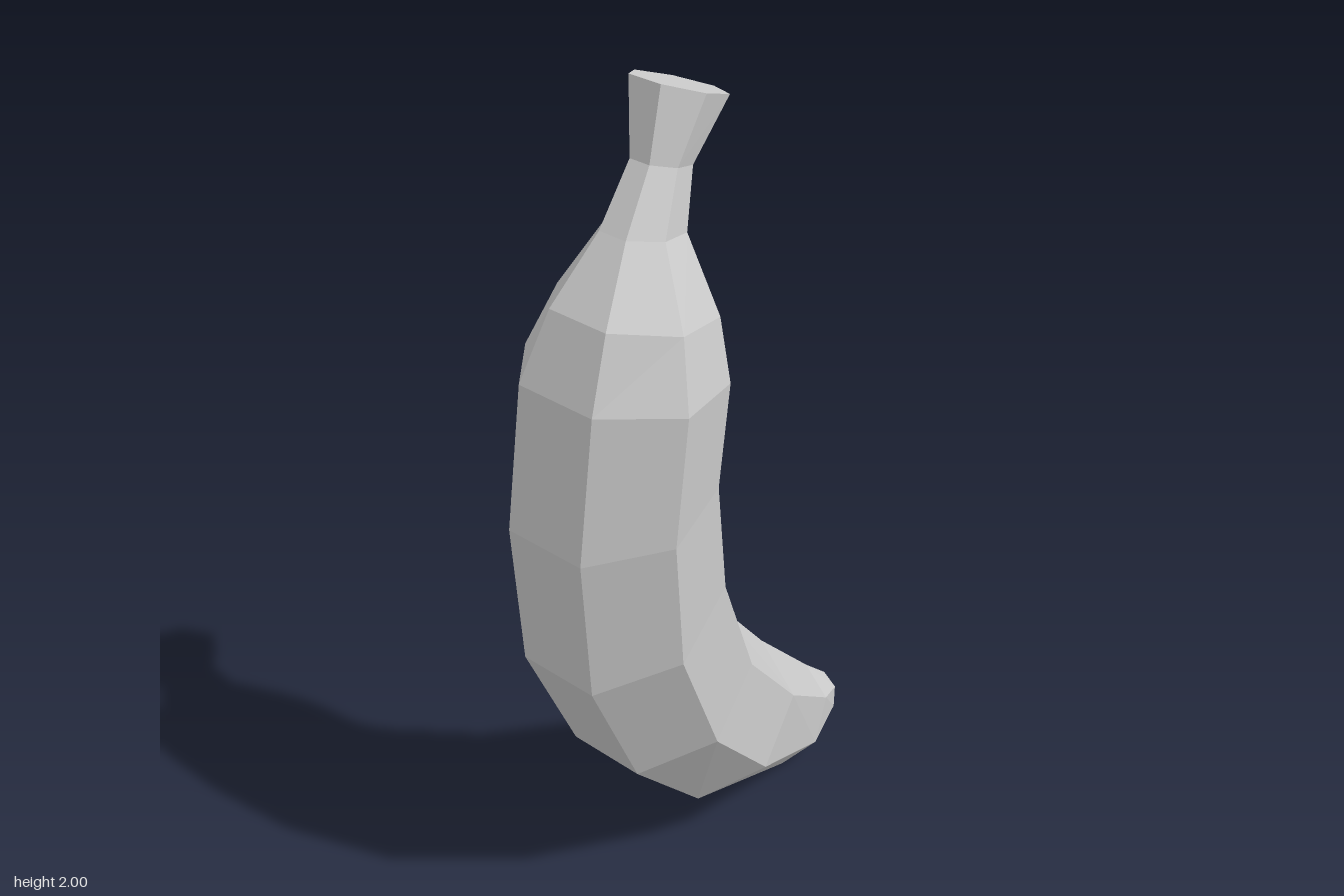
import * as THREE from 'three';

const SIDES = 7;

// Ring: outer edge (ox, oy), inner ridge (ix, iy), depth centre z, depth radius r
const stemRings = [
  [-0.18, 2.0, 0.02, 1.93, -0.013, 0.1],
  [-0.217, 1.845, -0.09, 1.815, 0.005, 0.062],
  [-0.307, 1.72, -0.128, 1.695, 0.015, 0.085],
];
const bodyRings = [
  stemRings[2],
  [-0.42, 1.58, -0.095, 1.53, 0.025, 0.182],
  [-0.48, 1.42, -0.09, 1.4, 0.015, 0.24],
  [-0.515, 1.08, -0.11, 1.18, 0, 0.245],
  [-0.485, 0.73, -0.07, 0.92, -0.01, 0.24],
  [-0.335, 0.41, 0.04, 0.64, -0.025, 0.23],
  [-0.1, 0.17, 0.23, 0.42, -0.045, 0.207],
  [0.29, 0.005, 0.44, 0.215, -0.07, 0.12],
];
const tipRings = [
  bodyRings[7],
  [0.48, 0.04, 0.515, 0.15, -0.068, 0.055],
];

// Seven-sided section with one ridge on the inner curve and a flat on the outer
function ringPoints([ox, oy, ix, iy, z, r]) {
  const flat = Math.cos(Math.PI / SIDES);
  const points = [];
  for (let k = 0; k < SIDES; k++) {
    const a = (k / SIDES) * Math.PI * 2;
    const t = (Math.cos(a) + flat) / (1 + flat);
    points.push(ox + (ix - ox) * t, oy + (iy - oy) * t, z + r * Math.sin(a));
  }
  return points;
}

// Skin consecutive rings, optionally closing the first or last one
function loft(name, rings, material, capStart, capEnd) {
  const index = [];
  for (let i = 0; i < rings.length - 1; i++) {
    for (let k = 0; k < SIDES; k++) {
      const a = i * SIDES + k;
      const b = i * SIDES + ((k + 1) % SIDES);
      index.push(a, b, b + SIDES, a, b + SIDES, a + SIDES);
    }
  }
  const last = (rings.length - 1) * SIDES;
  for (let k = 1; k < SIDES - 1; k++) {
    if (capStart) index.push(0, k + 1, k);
    if (capEnd) index.push(last, last + k, last + k + 1);
  }
  const geometry = new THREE.BufferGeometry();
  geometry.setAttribute('position', new THREE.Float32BufferAttribute(rings.flatMap(ringPoints), 3));
  geometry.setIndex(index);
  geometry.computeVertexNormals();
  const mesh = new THREE.Mesh(geometry, material);
  mesh.name = name;
  return mesh;
}

export function createModel() {
  const group = new THREE.Group();
  group.name = 'banana';
  const material = new THREE.MeshStandardMaterial({ color: 0xcccccc, flatShading: true });
  group.add(
    loft('stem', stemRings, material, true, false),
    loft('body', bodyRings, material, false, false),
    loft('tip', tipRings, material, false, true),
  );
  return group;
}
